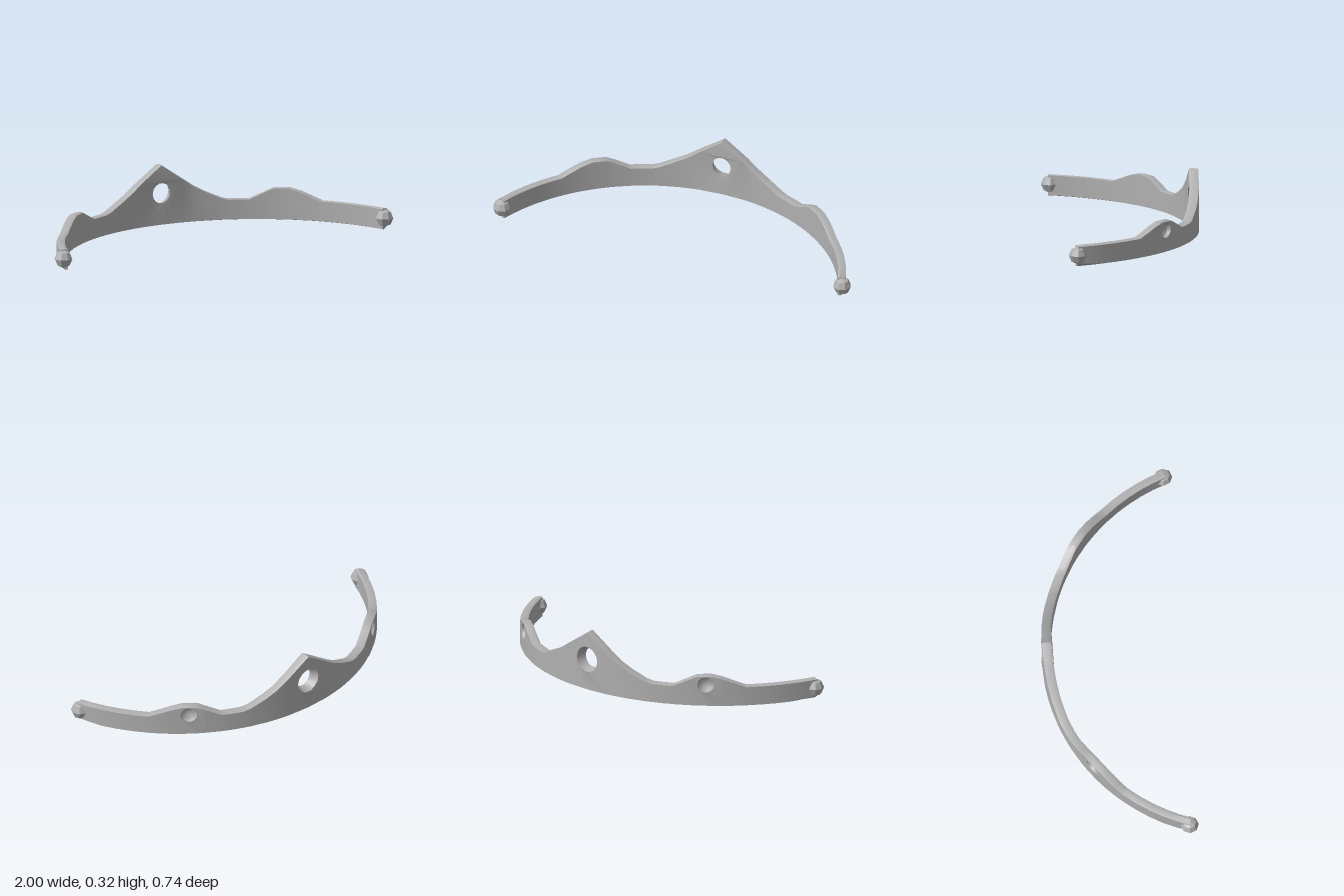
import * as THREE from 'three';
import { toCreasedNormals } from 'three/addons/utils/BufferGeometryUtils.js';

const END = 71; // half angle of the arc, degrees
const CENTRE_Z = 0.657, OUTER_R = 1.027;

// Height of the top edge by angle from the peak
const PROFILE = [[0, 0.32], [7, 0.238], [11, 0.19], [14.5, 0.158], [19.5, 0.12], [21.7, 0.111], [28, 0.111],
  [33, 0.152], [35, 0.168], [39.5, 0.171], [43, 0.155], [49.5, 0.111], [END, 0.111]];
function topAt(u) {
  const a = Math.abs(u);
  const i = Math.max(1, PROFILE.findIndex(p => p[0] >= a));
  const [a0, y0] = PROFILE[i - 1], [a1, y1] = PROFILE[i];
  return y0 + (y1 - y0) * (a - a0) / (a1 - a0);
}

// Wrap (angle, height, depth) onto the arc; depth 0 is inside, 1 is outside
function bend(u, y, t) {
  const thickness = 0.05 - 0.01 * Math.abs(u) / END;
  const r = OUTER_R - thickness * (1 - t), a = THREE.MathUtils.degToRad(u);
  return [r * Math.sin(a), y, CENTRE_Z - r * Math.cos(a)];
}

const outerLow = u => 0.007 + 0.012 * Math.max(0, (Math.abs(u) - 63) / (END - 63));
const outerHigh = u => topAt(u) - 0.006;
const innerLow = () => 0.004;
const innerHigh = u => topAt(u) - 0.004;

// Six-sided cross-section with softened top and bottom edges
const section = u => [
  bend(u, outerLow(u), 1), bend(u, outerHigh(u), 1), bend(u, topAt(u), 0.3),
  bend(u, innerHigh(u), 0), bend(u, innerLow(u), 0), bend(u, 0, 0.3)];

// Holes: panel limits, centre, and rings of [radius, depth]
const cup = [[0.042, 1], [0.036, 0.6], [0.018, 0.35], [0.0005, 0.3]];
const HOLES = [
  { from: -43, to: -33, u: -37.7, y: 0.121, rings: cup },
  { from: -7, to: 7, u: 0, y: 0.17, rings: [[0.068, 1], [0.053, 0]], through: true },
  { from: 33, to: 43, u: 37.7, y: 0.121, rings: cup }];

function bandGeometry() {
  const pos = [];
  const tri = (a, b, c) => pos.push(...a, ...b, ...c);
  const quad = (a, b, c, d) => { tri(a, b, c); tri(a, c, d); };

  const half = [7, 11, 14.5, 19.5, 21.7, 25, 28, 33, 35, 39.5, 43, 46.5, 49.5, 54, 58.5, 63, 67, END];
  const stations = [...half.map(u => -u).reverse(), 0, ...half];

  // Strips along the arc, leaving out faces that carry a hole
  for (let i = 0; i < stations.length - 1; i++) {
    const u0 = stations[i], u1 = stations[i + 1];
    const hole = HOLES.find(h => u0 >= h.from && u1 <= h.to);
    const s0 = section(u0), s1 = section(u1);
    for (let k = 0; k < 6; k++) {
      if (hole && (k === 0 || (k === 3 && hole.through))) continue;
      const n = (k + 1) % 6;
      quad(s0[k], s0[n], s1[n], s1[k]);
    }
  }

  // End caps
  const first = section(-END), last = section(END);
  for (let k = 1; k < 5; k++) {
    tri(first[0], first[k + 1], first[k]);
    tri(last[0], last[k], last[k + 1]);
  }

  // Pierced faces and the walls of the holes
  const SIDES = 14;
  for (const h of HOLES) {
    const ring = r => Array.from({ length: SIDES }, (_, i) => {
      const a = i / SIDES * Math.PI * 2;
      return new THREE.Vector2(h.u + THREE.MathUtils.radToDeg(r * Math.cos(a)), h.y + r * Math.sin(a));
    });
    const inside = stations.filter(u => u >= h.from && u <= h.to);
    const face = (low, high, r, t) => {
      const contour = [
        ...inside.map(u => new THREE.Vector2(u, low(u))),
        ...[...inside].reverse().map(u => new THREE.Vector2(u, high(u)))];
      const rim = ring(r).reverse();
      const pts = [...contour, ...rim].map(p => bend(p.x, p.y, t));
      for (const [a, b, c] of THREE.ShapeUtils.triangulateShape(contour, [rim])) {
        if (t === 1) tri(pts[a], pts[c], pts[b]);
        else tri(pts[a], pts[b], pts[c]);
      }
    };
    face(outerLow, outerHigh, h.rings[0][0], 1);
    if (h.through) face(innerLow, innerHigh, h.rings[1][0], 0);

    const loops = h.rings.map(([r, t]) => ring(r).map(p => bend(p.x, p.y, t)));
    for (let j = 0; j < loops.length - 1; j++) {
      for (let i = 0; i < SIDES; i++) {
        const n = (i + 1) % SIDES;
        quad(loops[j][i], loops[j + 1][i], loops[j + 1][n], loops[j][n]);
      }
    }
  }

  const g = new THREE.BufferGeometry();
  g.setAttribute('position', new THREE.Float32BufferAttribute(pos, 3));
  g.computeVertexNormals();
  return toCreasedNormals(g, Math.PI / 6);
}

export function createModel() {
  const group = new THREE.Group();
  group.name = 'tiara';
  const metal = new THREE.MeshStandardMaterial({ color: 0xb0b0b0 });
  metal.name = 'grey metal';

  const band = new THREE.Mesh(bandGeometry(), metal);
  band.name = 'band';
  group.add(band);

  // Faceted balls on both tips
  const ball = toCreasedNormals(new THREE.SphereGeometry(0.047, 8, 4), 0.3);
  for (const side of [1, -1]) {
    const tip = new THREE.Mesh(ball, metal);
    tip.name = side > 0 ? 'leftTipBall' : 'rightTipBall';
    tip.position.set(side * 0.953, 0.059, 0.324);
    group.add(tip);
  }
  return group;
}
